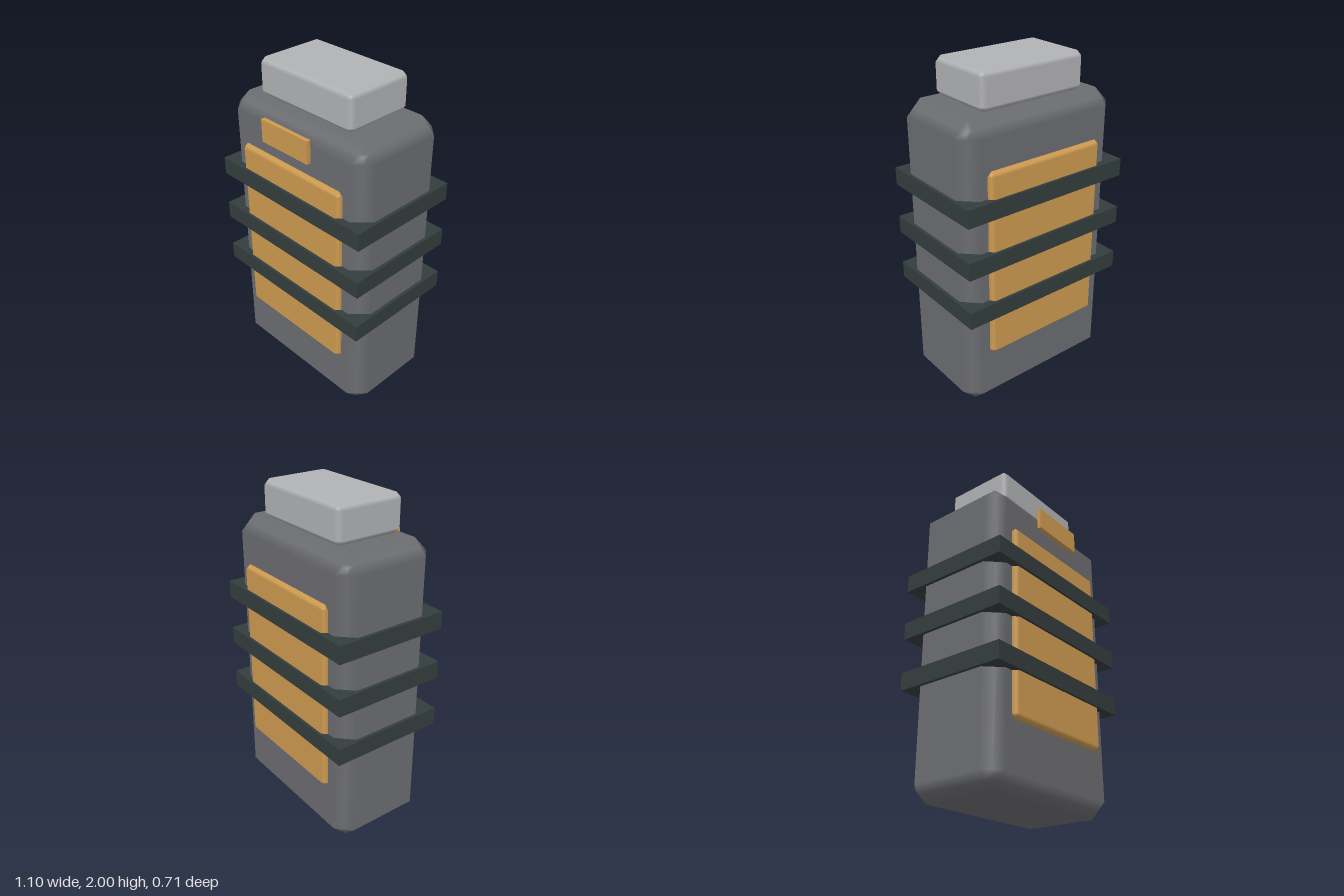
import * as THREE from 'three';

const material = (name, color) => {
  const m = new THREE.MeshStandardMaterial({ color });
  m.name = name;
  return m;
};

// Box with a flat single chamfer on every edge and normals blended across it
function chamferBox(w, h, d, r) {
  const geo = new THREE.BoxGeometry(w, h, d, 3, 3, 3);
  const pos = geo.attributes.position, nor = geo.attributes.normal;
  const half = [w / 2, h / 2, d / 2];
  const p = new THREE.Vector3(), n = new THREE.Vector3();
  for (let i = 0; i < pos.count; i++) {
    p.fromBufferAttribute(pos, i);
    // direction: one axis on faces, two on edges, three on corners
    const dir = p.toArray().map((v, k) => (Math.abs(v) > half[k] * 0.99 ? Math.sign(v) : 0));
    const count = dir.reduce((sum, v) => sum + Math.abs(v), 0);
    n.fromArray(dir);
    p.fromArray(p.toArray().map((v, k) => Math.sign(v) * (half[k] - r)));
    p.addScaledVector(n, r / count);
    n.normalize();
    pos.setXYZ(i, p.x, p.y, p.z);
    nor.setXYZ(i, n.x, n.y, n.z);
  }
  return geo;
}

export function createModel() {
  const group = new THREE.Group();
  group.name = 'flask';
  const grey = material('body grey', 0x6c6d71);
  const gold = material('panel gold', 0xce9b50);
  const dark = material('strap dark', 0x343d3d);
  const silver = material('cap silver', 0xb1b2b4);

  const add = (name, geo, mat, x, y, z) => {
    const mesh = new THREE.Mesh(geo, mat);
    mesh.name = name;
    mesh.position.set(x, y, z);
    group.add(mesh);
  };

  // Body and cap
  add('body', chamferBox(1.06, 1.78, 0.62, 0.09), grey, 0, 0.89, 0);
  add('cap', chamferBox(0.706, 0.22, 0.44, 0.033), silver, 0, 1.89, 0);

  // Raised panels on front and back
  for (const [name, side] of [['frontPanel', 1], ['backPanel', -1]]) {
    add(name, chamferBox(0.78, 1.14, 0.1, 0.025), gold, 0, 0.938, side * 0.29);
  }

  // Straps around the body
  [0.68, 0.992, 1.304].forEach((y, i) => {
    add(`strap${i + 1}`, new THREE.BoxGeometry(1.1, 0.106, 0.71), dark, 0, y, 0);
  });

  // Small plate standing just off the front
  add('frontPlate', new THREE.BoxGeometry(0.355, 0.134, 0.025), gold, 0, 1.671, 0.343);

  return group;
}
